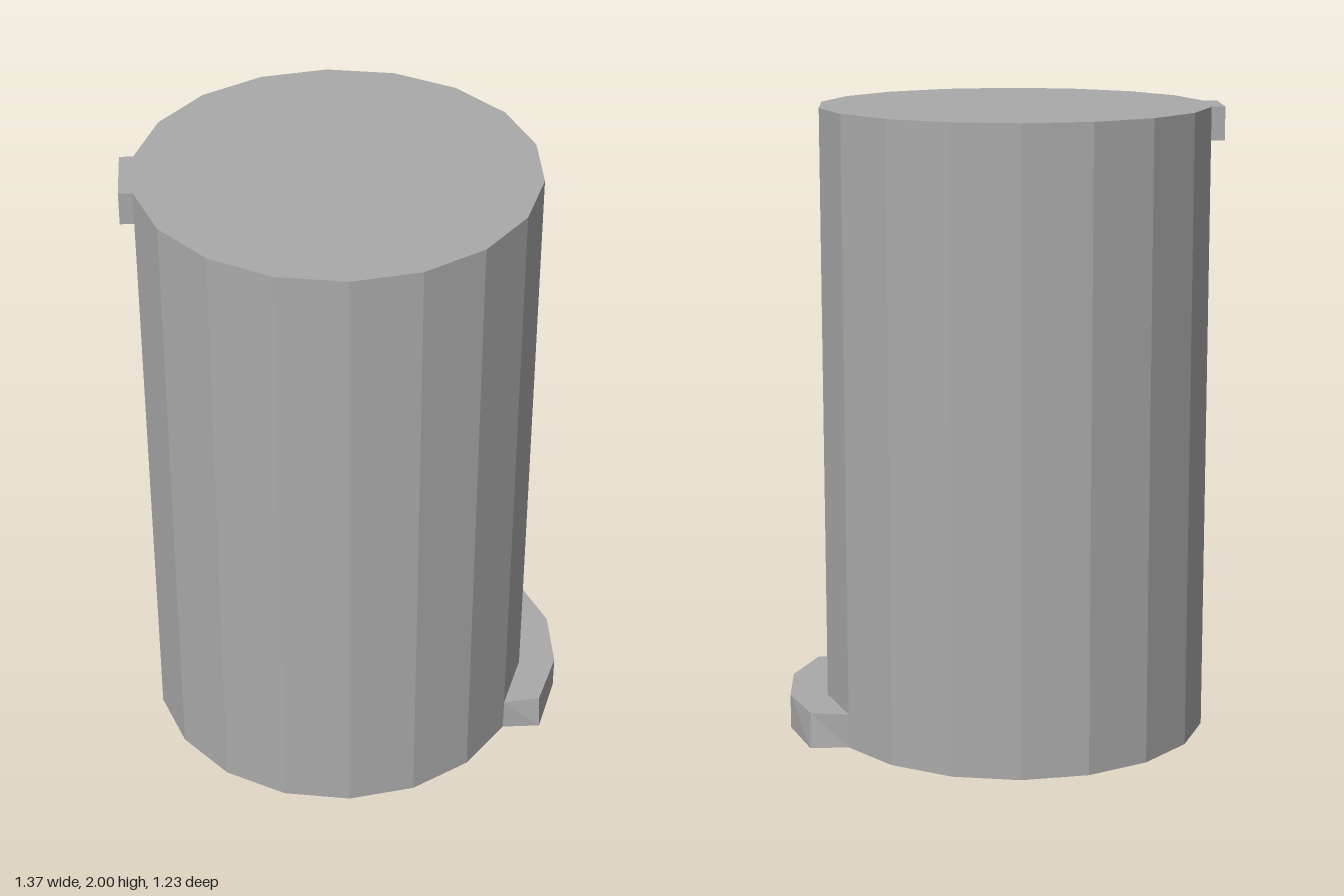
import * as THREE from 'three';

export function createModel() {
  const model = new THREE.Group();
  const grey = new THREE.MeshStandardMaterial({ color: 0xaaaaaa, flatShading: true });
  grey.name = 'grey metal';

  const add = (name, geometry, x, y, z) => {
    const mesh = new THREE.Mesh(geometry, grey);
    mesh.name = name;
    mesh.position.set(x, y, z);
    model.add(mesh);
    return mesh;
  };

  // Eighteen-sided closed drum
  add('body', new THREE.CylinderGeometry(0.615, 0.615, 2, 18), -0.04, 1, 0);

  // Small lid hinge, flush with the top
  add('hinge', new THREE.BoxGeometry(0.043, 0.105, 0.212), -0.667, 1.9475, 0);

  // Foot pedal: a faceted arc hugging the base, as [x, z] outline
  const outline = [
    [0.492, 0.307], [0.615, 0.308], [0.686, 0.107], [0.686, -0.107],
    [0.615, -0.308], [0.492, -0.307], [0.566, -0.107], [0.566, 0.107],
  ];
  const shape = new THREE.Shape(outline.map(([x, z]) => new THREE.Vector2(x, -z)));
  const pedal = new THREE.ExtrudeGeometry(shape, { depth: 0.11, bevelEnabled: false });
  pedal.rotateX(-Math.PI / 2);

  // Draw the pedal's outer top corners in slightly
  const p = pedal.attributes.position;
  for (let i = 0; i < p.count; i++) {
    if (p.getY(i) > 0.05 && Math.abs(p.getX(i) - 0.615) < 0.01) {
      p.setXYZ(i, 0.612, p.getY(i), Math.sign(p.getZ(i)) * 0.292);
    }
  }
  pedal.computeVertexNormals();
  add('footPedal', pedal, 0, 0, 0);

  return model;
}
